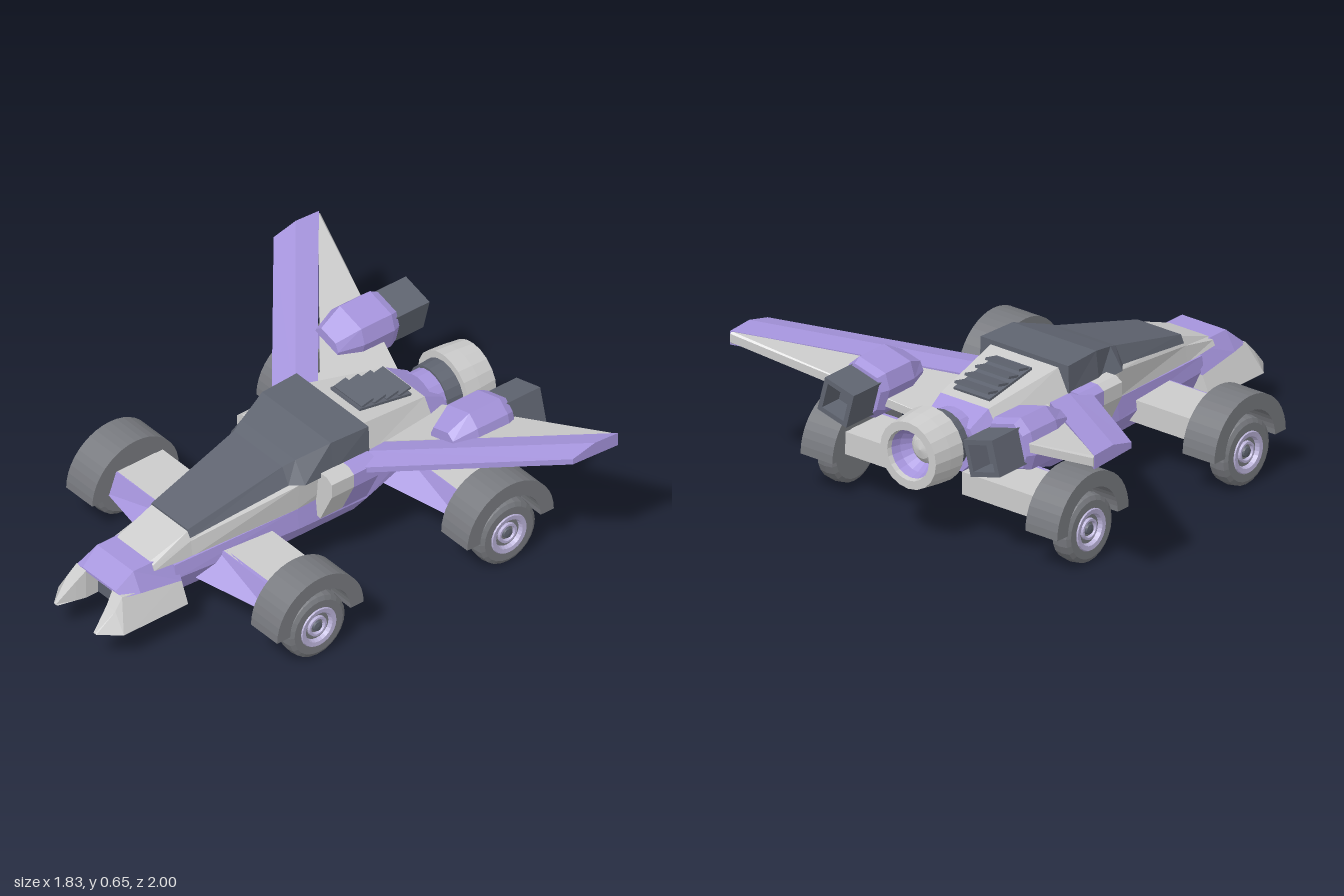
import * as THREE from 'three';

const mat = (color) => new THREE.MeshStandardMaterial({ color, flatShading: true, side: THREE.DoubleSide });
const GREY = mat(0xcccccc), PURPLE = mat(0xa594dc), DARK = mat(0x5f6470), MID = mat(0x77797e), RIM = mat(0xbab2d8);

export function createModel() {
  const model = new THREE.Group();

  const add = (name, geo, material, parent = model) => {
    const m = new THREE.Mesh(geo, material);
    m.name = name;
    parent.add(m);
    return m;
  };

  // Skin closed loops of [x, y, z] points, with flat end caps
  const loft = (loops, flip = false) => {
    const pos = [];
    const tri = (a, b, c) => pos.push(...a, ...(flip ? c : b), ...(flip ? b : c));
    const n = loops[0].length;
    for (let i = 0; i < loops.length - 1; i++) {
      for (let j = 0; j < n; j++) {
        const k = (j + 1) % n, p = loops[i], q = loops[i + 1];
        tri(p[j], q[j], q[k]);
        tri(p[j], q[k], p[k]);
      }
    }
    const first = loops[0], last = loops[loops.length - 1];
    for (let j = 1; j < n - 1; j++) {
      tri(first[0], first[j], first[j + 1]);
      tri(last[0], last[j + 1], last[j]);
    }
    const g = new THREE.BufferGeometry();
    g.setAttribute('position', new THREE.Float32BufferAttribute(pos, 3));
    g.computeVertexNormals();
    return g;
  };

  // Symmetric loft: each section is [z, ...half profile from bottom to top], front to back
  const hull = (sections) => loft(sections.map(([z, ...half]) => [
    ...half.map(([x, y]) => [x, y, z]),
    ...half.slice().reverse().map(([x, y]) => [-x, y, z]),
  ]));

  // One-sided loft along z, mirrored by s
  const sideLoft = (sections, s) => loft(sections.map(([z, pts]) => pts.map(([x, y]) => [s * x, y, z])), s < 0);

  // Fuselage
  add('lowerHull', hull([
    [0.62, [0.1, 0.14], [0.15, 0.24], [0.14, 0.3]],
    [0.05, [0.13, 0.14], [0.2, 0.24], [0.19, 0.33]],
    [-0.28, [0.13, 0.14], [0.21, 0.24], [0.2, 0.35]],
    [-0.74, [0.07, 0.26], [0.13, 0.32], [0.13, 0.4]],
  ]), PURPLE);
  const deckEnd = [-0.64, [0.15, 0.38], [0.16, 0.44], [0.12, 0.505]];
  add('upperHull', hull([
    [0.71, [0.13, 0.31], [0.12, 0.33], [0.1, 0.34]],
    [0.53, [0.14, 0.3], [0.13, 0.37], [0.11, 0.405]],
    [0.05, [0.19, 0.33], [0.2, 0.45], [0.14, 0.51]],
    [-0.28, [0.2, 0.35], [0.225, 0.46], [0.17, 0.57]],
    deckEnd,
  ]), GREY);
  add('tailFairing', hull([deckEnd, [-0.74, [0.13, 0.36], [0.14, 0.4], [0.11, 0.45]]]), PURPLE);
  add('canopy', hull([
    [0.53, [0.125, 0.38], [0.11, 0.413]],
    [0.09, [0.185, 0.46], [0.148, 0.53]],
    [0.04, [0.225, 0.46], [0.165, 0.548]],
    [-0.1, [0.225, 0.46], [0.21, 0.59]],
    [-0.28, [0.225, 0.46], [0.22, 0.59]],
  ]), DARK);

  // Louvred vent on the rear deck
  const vent = new THREE.Group();
  vent.name = 'deckVent';
  vent.position.set(0, 0.54, -0.47);
  vent.rotation.x = -0.18;
  model.add(vent);
  add('ventPlate', new THREE.BoxGeometry(0.18, 0.012, 0.26), DARK, vent);
  for (let i = 0; i < 4; i++) {
    const slat = add('ventSlat', new THREE.BoxGeometry(0.17, 0.01, 0.06), DARK, vent);
    slat.position.set(0, 0.018, 0.09 - i * 0.063);
    slat.rotation.x = 0.4;
  }

  // Nose
  add('noseCap', hull([
    [0.6, [0.16, 0.23], [0.11, 0.34]],
    [0.8, [0.155, 0.26], [0.11, 0.34]],
    [0.88, [0.14, 0.265], [0.1, 0.275]],
  ]), PURPLE);
  add('noseFloor', new THREE.BoxGeometry(0.2, 0.12, 0.22), DARK).position.set(0, 0.202, 0.71);

  // Thruster
  const lathe = (pts, sides) => new THREE.LatheGeometry(pts.map(([r, y]) => new THREE.Vector2(r, y)), sides);
  const thruster = new THREE.Group();
  thruster.name = 'thruster';
  thruster.position.set(0, 0.39, -0.7);
  thruster.rotation.x = -Math.PI / 2;
  model.add(thruster);
  add('collar', lathe([[0, 0], [0.11, 0], [0.11, 0.06], [0, 0.06]], 20), PURPLE, thruster);
  add('neck', lathe([[0, 0.06], [0.12, 0.06], [0.125, 0.14], [0, 0.14]], 20), DARK, thruster);
  add('nozzle', lathe([[0, 0.13], [0.155, 0.13], [0.15, 0.2], [0.14, 0.28], [0.105, 0.28], [0.1, 0.26]], 20), GREY, thruster);
  add('nozzleLining', lathe([[0.105, 0.275], [0.09, 0.22], [0.06, 0.17]], 20), PURPLE, thruster);
  add('burner', lathe([[0.075, 0.17], [0.04, 0.2], [0, 0.21]], 20), GREY, thruster);

  // Fender arch and inner wall, drawn around the wheel centre
  const R = 0.215;
  const arch = new THREE.Shape();
  arch.absarc(0, 0, R, 0, Math.PI);
  arch.lineTo(-0.15, 0);
  arch.absarc(0, 0, 0.15, Math.PI, 0, true);
  const wall = new THREE.Shape();
  wall.absarc(0, 0, R - 0.01, 0, Math.PI);
  const slab = (shape, depth) => new THREE.ExtrudeGeometry(shape, { depth, bevelEnabled: false, curveSegments: 10 }).rotateY(Math.PI / 2);

  const wheelAxis = (pts) => lathe(pts, 24).rotateZ(-Math.PI / 2);
  const makeWheel = (s, z) => {
    const corner = new THREE.Group();
    corner.name = 'wheelUnit';
    corner.position.set(0, 0, z);
    corner.rotation.y = s > 0 ? 0 : Math.PI;
    model.add(corner);
    add('fender', slab(arch, 0.16), MID, corner).position.set(0.485, 0.17, 0);
    add('fenderWall', slab(wall, 0.04), MID, corner).position.set(0.487, 0.17, 0);
    const wheel = new THREE.Group();
    wheel.name = 'wheel';
    wheel.position.set(0.59, 0.143, 0);
    corner.add(wheel);
    add('tyre', wheelAxis([[0, -0.045], [0.12, -0.045], [0.137, -0.035], [0.142, 0], [0.137, 0.035], [0.12, 0.045], [0.088, 0.045], [0.08, 0.03], [0, 0.03]]), MID, wheel);
    add('rim', wheelAxis([[0.088, 0.044], [0.084, 0.05], [0.066, 0.048], [0.06, 0.03]]), RIM, wheel);
    add('hubRing', wheelAxis([[0.045, 0.03], [0.043, 0.042], [0.034, 0.042], [0.03, 0.03]]), RIM, wheel);
    add('hubCap', wheelAxis([[0.022, 0.03], [0.02, 0.042], [0, 0.045]]), DARK, wheel);
  };

  // Axle arm: grey box with a slanted purple leading edge
  const makeArm = (s, z) => {
    const section = (x, rear, top, toe) => [
      [s * x, 0.185, z + rear], [s * x, 0.28, z + rear], [s * x, 0.28, z + top], [s * x, 0.185, z + toe],
    ];
    add('axleArm', loft([section(0.1, -0.135, 0.09, 0.1), section(0.5, -0.135, 0.09, 0.1)], s < 0), GREY);
    const edge = (x, toe) => [
      [s * x, 0.185, z + 0.08], [s * x, 0.28, z + 0.08], [s * x, 0.28, z + 0.095], [s * x, 0.185, z + toe],
    ];
    add('axleArmEdge', loft([edge(0.1, 0.21), edge(0.5, 0.13)], s < 0), PURPLE);
  };

  const octagon = (w, h, z) => [
    [w, -h * 0.45], [w, h * 0.45], [w * 0.65, h], [-w * 0.65, h],
    [-w, h * 0.45], [-w, -h * 0.45], [-w * 0.65, -h], [w * 0.65, -h],
  ].map(([x, y]) => [x, y, z]);

  const wingY = (x) => 0.615 - 0.255 * (0.915 - x);

  for (const s of [1, -1]) {
    // Nose fangs
    add('noseFang', sideLoft([
      [1.0, [[0.11, 0.14], [0.13, 0.14], [0.125, 0.145], [0.115, 0.145]]],
      [0.92, [[0.09, 0.14], [0.2, 0.14], [0.148, 0.225], [0.095, 0.225]]],
      [0.88, [[0.08, 0.14], [0.2, 0.14], [0.14, 0.27], [0.08, 0.27]]],
      [0.6, [[0.08, 0.14], [0.2, 0.14], [0.155, 0.24], [0.08, 0.24]]],
    ], s), GREY);

    // Side intakes
    const intake = [[0.15, 0.27], [0.22, 0.26], [0.29, 0.4], [0.29, 0.46], [0.26, 0.48], [0.15, 0.48]];
    add('sideIntake', sideLoft([[-0.04, intake], [-0.15, intake]], s), GREY);
    add('sideIntakeRear', sideLoft([[-0.15, intake], [-0.27, intake]], s), PURPLE);

    // Wing: purple leading band with a ridge, grey trailing panel
    const band = (x, lead, ridge, border) => [
      [lead, -0.015], [border, -0.028], [border, 0.03], [ridge, 0.037], [lead, 0.01],
    ].map(([z, dy]) => [s * x, wingY(x) + dy, z]);
    add('wingLeadingBand', loft([band(0.19, -0.13, -0.25, -0.36), band(0.915, -0.73, -0.84, -0.955)], s < 0), PURPLE);
    const panel = (x, border, rear) => [
      [border, -0.026], [rear, -0.015], [rear, 0.02], [border, 0.028],
    ].map(([z, dy]) => [s * x, wingY(x) + dy, z]);
    add('wingPanel', loft([panel(0.1, -0.3, -0.71), panel(0.912, -0.95, -0.958)], s < 0), GREY);

    // Wing pod with a hollow square barrel, staggered left to right
    const pod = new THREE.Group();
    pod.name = 'wingPod';
    pod.position.set(s * 0.385, 0.495, s > 0 ? -0.515 : -0.56);
    pod.rotation.z = s * 0.26;
    model.add(pod);
    add('podShell', loft([
      octagon(0.07, 0.055, 0), octagon(0.105, 0.105, -0.1), octagon(0.105, 0.105, -0.25), octagon(0.09, 0.09, -0.285),
    ]), PURPLE, pod);
    const square = (r, P) => new P([[-r, -r], [r, -r], [r, r], [-r, r]].map(([x, y]) => new THREE.Vector2(x, y)));
    const bore = square(0.075, THREE.Shape);
    bore.holes.push(square(0.055, THREE.Path));
    add('podBarrel', new THREE.ExtrudeGeometry(bore, { depth: 0.17, bevelEnabled: false }), DARK, pod).position.z = -0.44;
    add('podBarrelCore', new THREE.BoxGeometry(0.12, 0.12, 0.08), DARK, pod).position.z = -0.3;

    for (const z of [0.305, -0.64]) {
      makeWheel(s, z);
      makeArm(s, z);
    }
  }
  return model;
}
